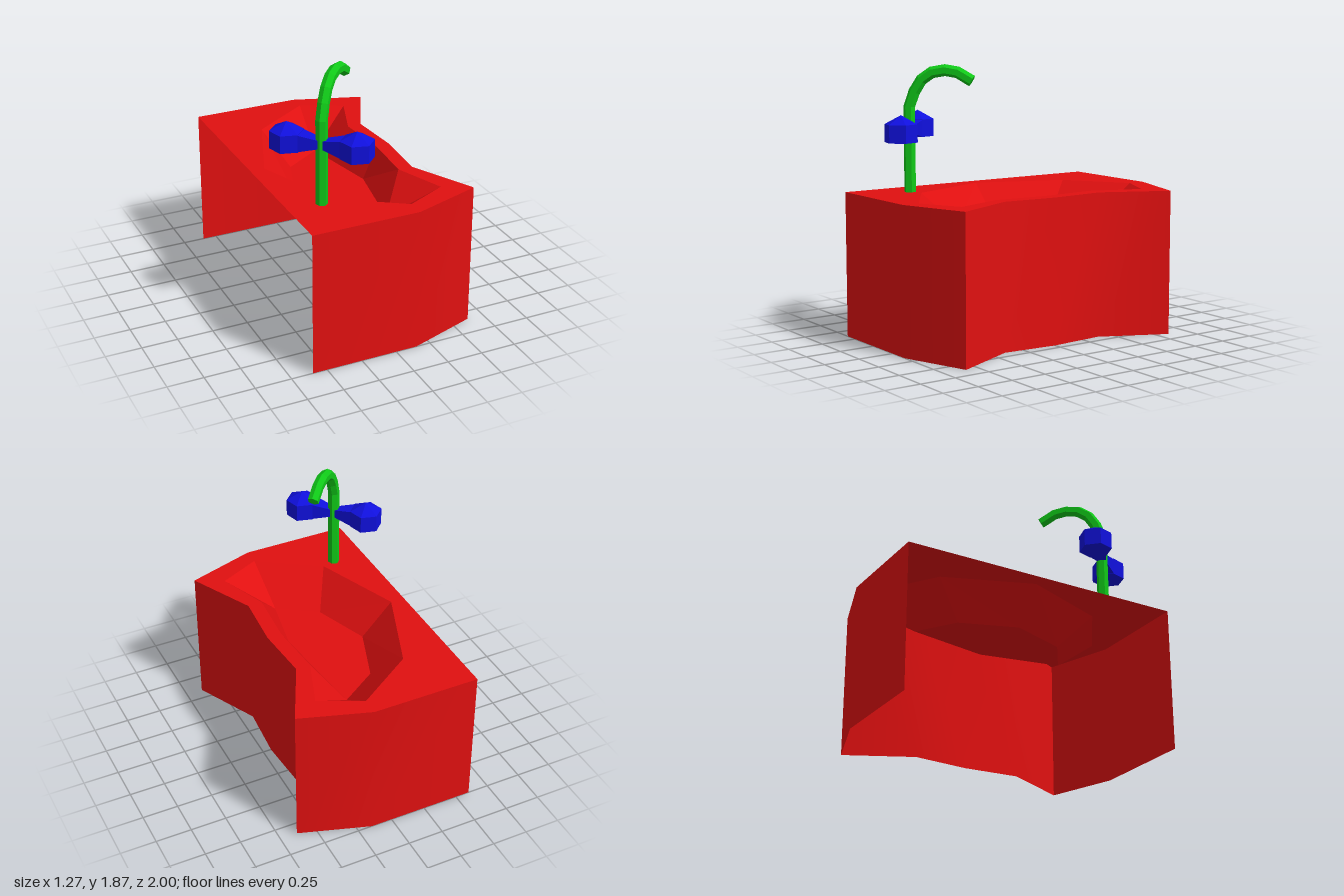
import * as THREE from 'three';
import { toCreasedNormals } from 'three/addons/utils/BufferGeometryUtils.js';

const material = (color) => new THREE.MeshStandardMaterial({ color, flatShading: true, side: THREE.DoubleSide });
const red = material(0xe01010);
const smoothRed = red.clone();
smoothRed.flatShading = false;
const green = material(0x10c818);
const blue = material(0x1010dd);

function part(name, geometry, mat) {
  const mesh = new THREE.Mesh(geometry, mat);
  mesh.name = name;
  return mesh;
}

// Complete a plan outline [x, z] given on the +z side by mirroring it to -z
function mirrored(half) {
  const other = half.filter(([, z]) => z !== 0).map(([x, z]) => [x, -z]).reverse();
  return [...half, ...other];
}

// Strip of quads between a lower and an upper loop of 3D points
function strip(lower, upper, closed) {
  const n = lower.length;
  const positions = [];
  for (let i = 0; i < (closed ? n : n - 1); i++) {
    const j = (i + 1) % n;
    for (const p of [lower[i], lower[j], upper[j], lower[i], upper[j], upper[i]]) positions.push(...p);
  }
  const geometry = new THREE.BufferGeometry();
  geometry.setAttribute('position', new THREE.Float32BufferAttribute(positions, 3));
  geometry.computeVertexNormals();
  return geometry;
}

// Horizontal sheet facing up
function sheet(outline, y, hole) {
  const toPoints = (pts) => pts.map(([x, z]) => new THREE.Vector2(x, -z));
  const shape = new THREE.Shape(toPoints(outline));
  if (hole) shape.holes.push(new THREE.Path(toPoints(hole)));
  return new THREE.ShapeGeometry(shape).rotateX(-Math.PI / 2).translate(0, y, 0);
}

const at = (pts, y) => pts.map(([x, z]) => [x, y, z]);

function createTub() {
  const tub = new THREE.Group();
  tub.name = 'tub';
  const floorY = 0.77;
  const outer = mirrored([[-0.6, 1], [0.15, 1], [0.63, 0.84], [0.41, 0.39], [0.44, 0]]);
  const rim = mirrored([[-0.5, 0], [-0.27, 0.6], [0.15, 0.88], [0.44, 0.74], [0.31, 0.39], [0.34, 0]]);
  // One floor corner for each rim corner; three rim corners share a floor corner
  const foot = mirrored([[-0.28, 0], [-0.14, 0.39], [0.13, 0.57], [0.13, 0.57], [0.13, 0.57], [0.24, 0]]);
  const floor = mirrored([[-0.28, 0], [-0.14, 0.39], [0.13, 0.57], [0.24, 0]]);

  // Skirt is open underneath and along the wall side
  const skirt = toCreasedNormals(strip(at(outer, 0), at(outer, 1), false), 0.62);
  tub.add(
    part('skirt', skirt, smoothRed),
    part('deck', sheet(outer, 1, rim), red),
    part('basinWall', strip(at(foot, floorY).reverse(), at(rim, 1).reverse(), true), red),
    part('basinFloor', sheet(floor, floorY), red),
  );
  return tub;
}

// Six-sided spout swept along a path in its own plane: local x is outward
function createSpout() {
  const path = [[0, 1], [0, 1.58], [0.035, 1.68], [0.085, 1.76], [0.156, 1.81], [0.247, 1.826], [0.332, 1.812], [0.431, 1.755]]
    .map(([x, y]) => new THREE.Vector2(x, y));
  const radius = 0.04;
  const sides = 6;
  const rings = path.map((p, i) => {
    const next = path[Math.min(i + 1, path.length - 1)];
    const prev = path[Math.max(i - 1, 0)];
    const t = next.clone().sub(prev).normalize();
    if (i === 1) t.set(0.1, 1).normalize();
    return Array.from({ length: sides }, (_, k) => {
      const a = (k / sides) * Math.PI * 2;
      const r = Math.cos(a) * radius;
      return [p.x + t.y * r, p.y - t.x * r, -Math.sin(a) * radius];
    });
  });
  const spout = new THREE.Group();
  spout.name = 'spout';
  for (let i = 0; i < rings.length - 1; i++) {
    spout.add(part('spoutSegment', strip(rings[i], rings[i + 1], true), green));
  }
  // Closed tip
  const tip = path[path.length - 1];
  const last = rings[rings.length - 1];
  spout.add(part('spoutTip', strip(last, last.map(() => [tip.x, tip.y, 0]), true), green));
  return spout;
}

// Hexagonal knob with a pointed cap and a tapering square arm to the spout
function createHandle() {
  const handle = new THREE.Group();
  handle.name = 'handle';
  const x = 0.236;
  const r = 0.112;
  const arm = new THREE.CylinderGeometry(0.037, 0.08, 0.14, 4, 1)
    .rotateY(Math.PI / 4).rotateZ(Math.PI / 2).translate(0.07, 1.42, 0);
  handle.add(
    part('knob', new THREE.CylinderGeometry(r, r, 0.12, 6).translate(x, 1.42, 0), blue),
    part('knobCap', new THREE.ConeGeometry(r, 0.06, 6, 1, true).translate(x, 1.51, 0), blue),
    part('handleArm', arm, blue),
  );
  return handle;
}

export function createModel() {
  const model = new THREE.Group();
  model.name = 'cornerBathtub';

  // Tap stands on the deck, turned to face the basin diagonally
  const tap = new THREE.Group();
  tap.name = 'tap';
  tap.position.set(-0.365, 0, 0.63);
  tap.rotation.y = Math.PI / 4;
  tap.add(createSpout());
  for (const side of [-1, 1]) {
    const handle = createHandle();
    handle.rotation.y = (side * Math.PI) / 2;
    tap.add(handle);
  }

  model.add(createTub(), tap);
  return model;
}
